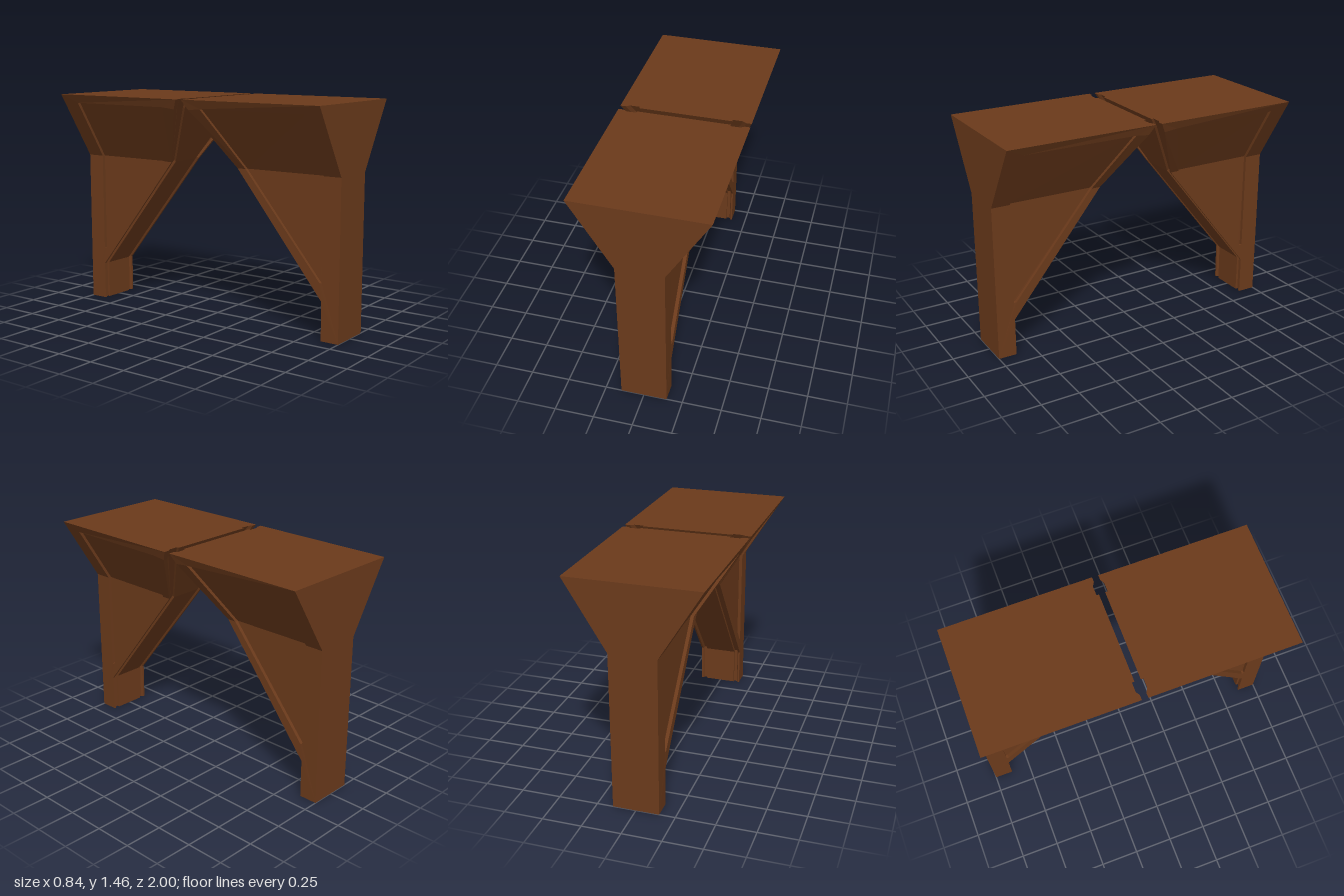
import * as THREE from 'three';

const TOP = 1.455, BEND = 1.02, RECESS = 0.022, GROOVE = 0.016;

// Outline points of one half, each [half width x, y, z]
const A = [0.148, 0, 1], B = [0.148, 0, 0.88], C = [0.15, 0.25, 0.88], D = [0.155, BEND, 0.265],
  E = [0.393, 1.39, 0.057], F = [0.42, TOP, 0.02], G = [0.42, TOP, 1], H = [0.15, BEND, 1];
// Recessed side panel: front foot, back foot, bend, back top, front top, front bend
const panel = [[0.149, 0.365, 0.88], [0.15, 0.365, 0.865], [0.155, BEND, 0.325],
  [0.395, 1.4, 0.145], [0.387, 1.4, 0.88], [0.151, BEND, 0.88]];
const panelFloor = panel.map(([x, y, z]) => [x - RECESS, y, z]);

const material = new THREE.MeshStandardMaterial({ color: 0x6b3a1b, flatShading: true });

// Makes a mesh from convex faces given as corner lists
function faceMesh(name, faces) {
  const pos = [];
  for (const f of faces)
    for (let i = 1; i < f.length - 1; i++) pos.push(...f[0], ...f[i], ...f[i + 1]);
  const geo = new THREE.BufferGeometry();
  geo.setAttribute('position', new THREE.Float32BufferAttribute(pos, 3));
  geo.computeVertexNormals();
  const mesh = new THREE.Mesh(geo, material);
  mesh.name = name;
  return mesh;
}

// Same faces on the other side of x = 0, turned to face outward
const mirrorX = faces => faces.map(f => f.map(([x, y, z]) => [-x, y, z]).reverse());

function sideFaces() {
  const [p, q, pD, pF, pG, pH] = panel;
  const [r, s, rD, rF, rG, rH] = panelFloor;
  const faces = [
    // frame around the panel
    [A, B, C], [A, C, q], [A, q, p], [A, p, pH], [A, pH, H],
    [C, D, pD, q], [D, E, pF, pD], [E, F, pF], [F, G, pG, pF], [G, H, pH, pG],
    // panel floor
    [r, s, rD, rH], [rH, rD, rF, rG],
  ];
  // panel walls
  panel.forEach((a, i) => {
    const j = (i + 1) % panel.length;
    faces.push([a, panel[j], panelFloor[j], panelFloor[i]]);
  });
  return faces;
}

// Inner edge: a cross-section with two grooves, carried up the bracket
function grooveRows() {
  const half = [[1, 0], [0.92, 0], [0.86, 1], [0.71, 1], [0.71, 0]];
  const section = [...half.map(([u, d]) => [-u, d]), ...half.slice().reverse()];
  // groove direction at each level, as [y, z]
  const inward = [[0, 1], [0.5, 1], [0.6, 0.9], [0.5, 0.9], [0, 1]];
  return [B, C, D, E, F].map(([w, y, z], k) => section.map(([u, d]) =>
    [u * w, y + d * GROOVE * inward[k][0], z + d * GROOVE * inward[k][1]]));
}

function createHalf(name) {
  const half = new THREE.Group();
  half.name = name;
  const neg = ([x, y, z]) => [-x, y, z];

  const side = sideFaces();
  half.add(faceMesh('leftSidePanel', side), faceMesh('rightSidePanel', mirrorX(side)));
  half.add(faceMesh('outerFace', [[neg(A), A, H, neg(H)], [neg(H), H, G, neg(G)]]));

  const rows = grooveRows(), inner = [], foot = [], top = [];
  const out = ([x, y]) => [x, y, 1];
  for (let j = 0; j < rows[0].length - 1; j++) {
    for (let k = 0; k < rows.length - 1; k++)
      inner.push([rows[k][j + 1], rows[k][j], rows[k + 1][j], rows[k + 1][j + 1]]);
    const [a, b] = [rows[0][j], rows[0][j + 1]];
    const [c, d] = [rows[4][j], rows[4][j + 1]];
    if (b[0] - a[0] > 1e-6) {
      foot.push([a, b, out(b), out(a)]);
      top.push([out(c), out(d), d, c]);
    }
  }
  half.add(faceMesh('groovedInnerFace', inner), faceMesh('footBase', foot), faceMesh('topPlate', top));
  return half;
}

export function createModel() {
  const model = new THREE.Group();
  model.name = 'splitArch';
  const front = createHalf('frontBracket');
  const back = createHalf('backBracket');
  back.rotation.y = Math.PI;
  model.add(front, back);
  return model;
}
